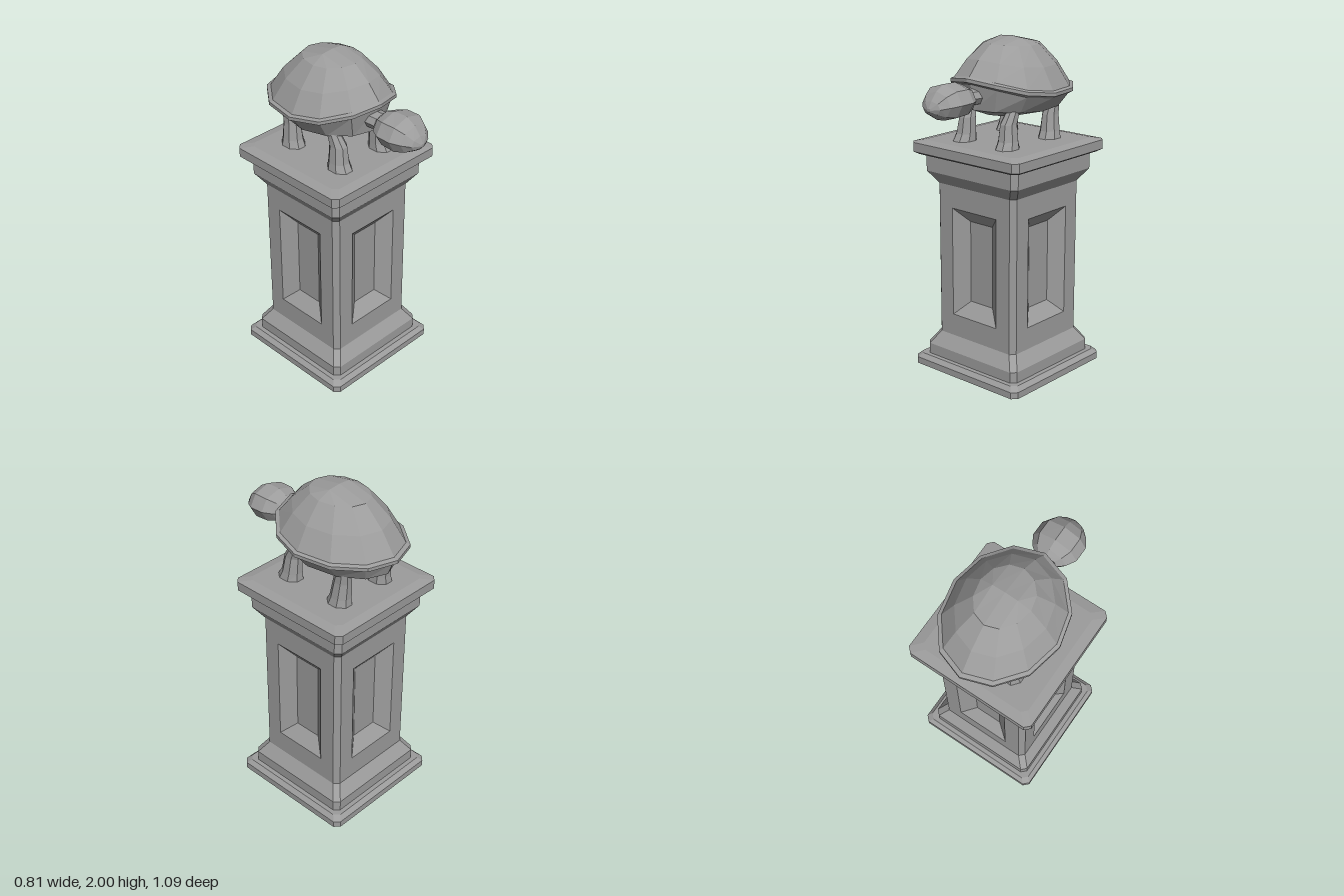
import * as THREE from 'three';

const stone = new THREE.MeshStandardMaterial({ color: 0x9c9c9c, flatShading: true });
const CZ = -0.105; // pedestal axis

// Skin closed rings of [x, y, z] points; caps are fans, skip(i, j) leaves a quad open
function loft(name, rings, { start = false, end = false, skip = () => false } = {}) {
  const pos = [];
  const tri = (...pts) => pts.forEach((p) => pos.push(...p));
  const centre = (r) => [0, 1, 2].map((k) => r.reduce((s, p) => s + p[k], 0) / r.length);
  const n = rings[0].length;
  for (let j = 0; j < n; j++) {
    const k = (j + 1) % n;
    for (let i = 0; i < rings.length - 1; i++) {
      if (skip(i, j)) continue;
      const [lo, hi] = [rings[i], rings[i + 1]];
      tri(lo[j], lo[k], hi[k]);
      tri(lo[j], hi[k], hi[j]);
    }
    const first = rings[0], last = rings[rings.length - 1];
    if (start) tri(first[k], first[j], centre(first));
    if (end) tri(last[j], last[k], centre(last));
  }
  const geo = new THREE.BufferGeometry();
  geo.setAttribute('position', new THREE.Float32BufferAttribute(pos, 3));
  geo.computeVertexNormals();
  const mesh = new THREE.Mesh(geo, stone);
  mesh.name = name;
  return mesh;
}

const ring = (n, fn) => Array.from({ length: n }, (_, j) => fn((j / n) * Math.PI * 2));

// Square with cut corners, at height y
function cutSquare(h, y, c = 0.03) {
  const e = h - c;
  return [[-e, h], [e, h], [h, e], [h, -e], [e, -h], [-e, -h], [-h, -e], [-h, e]]
    .map(([x, z]) => [x, y, z]);
}

function createPedestal() {
  const g = new THREE.Group();
  g.name = 'pedestal';
  g.position.z = CZ;
  const profile = [
    [0.405, 0], [0.405, 0.04], [0.38, 0.065], [0.352, 0.065], [0.352, 0.13], [0.3, 0.21],
    [0.3, 1.145], [0.352, 1.22], [0.352, 1.32], [0.38, 1.32], [0.405, 1.335], [0.405, 1.39],
    [0.345, 1.402],
  ];
  // Flat sides of the shaft stay open for the recessed panels
  g.add(loft('pedestalBody', profile.map(([h, y]) => cutSquare(h, y)), {
    start: true, end: true, skip: (i, j) => i === 5 && j % 2 === 0,
  }));

  const rect = (w, y0, y1, z) => [[-w, y0, z], [w, y0, z], [w, y1, z], [-w, y1, z]];
  const outer = rect(0.27, 0.21, 1.145, 0.3);
  const opening = rect(0.17, 0.345, 1.01, 0.3);
  const floor = rect(0.085, 0.43, 0.93, 0.235);
  for (let i = 0; i < 4; i++) {
    const panel = loft('recessedPanel', [outer, opening, floor], { end: true });
    panel.rotation.y = (i * Math.PI) / 2;
    g.add(panel);
  }
  return g;
}

// Height of the shell rim: it sweeps up over the neck
const rimY = (a) => 1.705 + 0.095 * ((1 + Math.cos(a)) / 2) ** 4;

// Egg-shaped ring, longer towards the back
function shellRing(sx, sz, yOf) {
  return ring(12, (a) => [
    0.338 * sx * Math.sin(a),
    yOf(a),
    -0.12 + sz * Math.cos(a) * (Math.cos(a) > 0 ? 0.366 : 0.428),
  ]);
}

function createShell() {
  const g = new THREE.Group();
  g.name = 'shell';
  const rise = (s, t) => shellRing(s, s, (a) => THREE.MathUtils.lerp(rimY(a) + 0.008, 2, t));
  const drop = (s, d) => shellRing(s, s, (a) => rimY(a) - d);
  // The dome closes on a short crosswise ridge
  const ridge = ring(12, (a) => {
    const x = 0.155 * THREE.MathUtils.clamp(Math.sin(a), -0.5, 0.5);
    return [x, 2 - 0.08 * Math.abs(x), -0.125];
  });
  g.add(loft('shellDome', [rise(0.94, 0), rise(0.735, 0.44), rise(0.457, 0.84), ridge]));
  g.add(loft('shellRim', [drop(0.92, 0.035), drop(1, 0.02), drop(1, 0), rise(0.94, 0)]));
  g.add(loft('belly', [
    shellRing(0.42, 0.5, () => 1.567),
    shellRing(0.72, 0.85, (a) => 1.593 + 0.022 * Math.max(0, Math.cos(a))),
    drop(0.92, 0.035),
  ], { start: true }));
  return g;
}

// Rings along z: [z, half width, bottom, top]
function alongZ(n, rows) {
  return rows.map(([z, w, y0, y1]) => ring(n, (a) =>
    [w * Math.sin(a), (y0 + y1) / 2 - ((y1 - y0) / 2) * Math.cos(a), z]));
}

// Rings going up: [y, x, z, half width, half depth]
function leg(name, side, rows) {
  return loft(name, rows.map(([y, x, z, w, d]) => ring(8, (a) => {
    const b = a + Math.PI / 8;
    return [side * x + w * 1.08 * Math.sin(b), y, z + d * 1.08 * Math.cos(b)];
  })), { start: true, end: true });
}

function createTortoise() {
  const g = new THREE.Group();
  g.name = 'tortoise';
  g.add(createShell());
  g.add(loft('neck', alongZ(8, [[0.08, 0.065, 1.64, 1.74], [0.29, 0.065, 1.645, 1.745]]),
    { start: true, end: true }));
  g.add(loft('head', alongZ(8, [
    [0.255, 0.07, 1.64, 1.745], [0.285, 0.108, 1.62, 1.775], [0.34, 0.14, 1.603, 1.795],
    [0.43, 0.14, 1.595, 1.797], [0.485, 0.108, 1.61, 1.765], [0.525, 0.066, 1.637, 1.718],
    [0.546, 0.012, 1.66, 1.68],
  ]), { start: true, end: true }));
  for (const side of [1, -1]) {
    g.add(leg('frontLeg', side, [
      [1.4, 0.163, 0.09, 0.06, 0.075], [1.445, 0.16, 0.08, 0.053, 0.06],
      [1.54, 0.156, 0.072, 0.043, 0.052], [1.61, 0.163, 0.042, 0.034, 0.04],
      [1.67, 0.165, 0.025, 0.032, 0.038],
    ]));
    g.add(leg('hindLeg', side, [
      [1.4, 0.163, -0.285, 0.06, 0.072], [1.445, 0.16, -0.292, 0.053, 0.06],
      [1.54, 0.156, -0.3, 0.043, 0.053], [1.61, 0.163, -0.312, 0.034, 0.043],
      [1.67, 0.165, -0.316, 0.032, 0.038],
    ]));
  }
  return g;
}

export function createModel() {
  const model = new THREE.Group();
  model.name = 'tortoiseOnPedestal';
  model.add(createPedestal(), createTortoise());
  return model;
}
